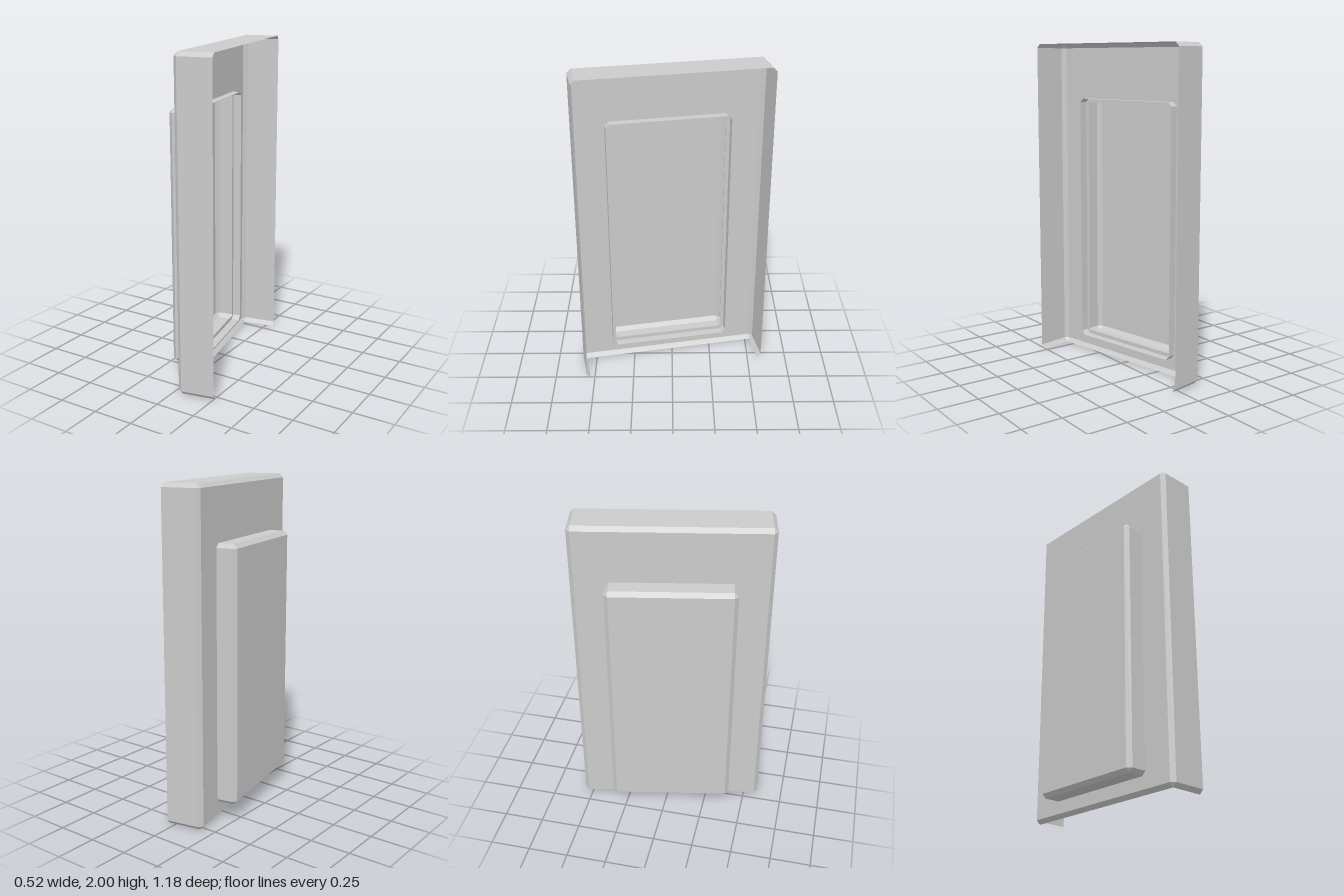
import * as THREE from 'three';

const BEVEL = 0.024;

// Rectangle corners, counter-clockwise from bottom left.
const corners = (w, y0, y1) => [[-w, y0], [w, y0], [w, y1], [-w, y1]];

// Rectangle with its four corners cut; edges 0, 2, 4, 6 are bottom, right, top, left.
const cutCorners = (w, y0, y1, c) => [
  [-w + c, y0], [w - c, y0], [w, y0 + c], [w, y1 - c],
  [w - c, y1], [-w + c, y1], [-w, y1 - c], [-w, y0 + c],
];

// Joins equal-length outlines [points, depth]; skip(ring, edge) leaves a strip open.
function loft(rings, skip = () => false) {
  const pos = [];
  for (let r = 0; r < rings.length - 1; r++) {
    const [A, za] = rings[r];
    const [B, zb] = rings[r + 1];
    for (let i = 0; i < A.length; i++) {
      if (skip(r, i)) continue;
      const j = (i + 1) % A.length;
      const a = [...A[i], za], b = [...A[j], za], c = [...B[j], zb], d = [...B[i], zb];
      pos.push(...a, ...b, ...c, ...a, ...c, ...d);
    }
  }
  const geo = new THREE.BufferGeometry();
  geo.setAttribute('position', new THREE.Float32BufferAttribute(pos, 3));
  geo.computeVertexNormals();
  return geo;
}

export function createModel() {
  const model = new THREE.Group();
  model.name = 'panelledShell';
  const mat = new THREE.MeshStandardMaterial({
    color: 0xcccccc, flatShading: true, side: THREE.DoubleSide,
  });
  const add = (name, geo, z = 0) => {
    const mesh = new THREE.Mesh(geo, mat);
    mesh.name = name;
    mesh.position.z = z;
    model.add(mesh);
  };

  // Bevelled tray walls, open at the back
  const walls = (w, y0, y1, z0, z1, skip) => {
    const outer = cutCorners(w, y0, y1, BEVEL);
    const inner = corners(w - BEVEL, y0 + BEVEL, y1 - BEVEL);
    const face = [0, 1, 1, 2, 2, 3, 3, 0].map(i => inner[i]);
    return loft([[outer, z0], [outer, z1 - BEVEL], [face, z1]], skip);
  };
  const rect = (w, y0, y1) => corners(w, y0, y1).map(p => new THREE.Vector2(...p));

  // Outer shell: no floor, and a panel with a window
  add('shellWalls', walls(0.58, 0, 2, 0, 0.23, (r, i) => r === 0 && i === 0));
  const panel = new THREE.Shape(rect(0.58 - BEVEL, BEVEL, 2 - BEVEL));
  panel.holes.push(new THREE.Path(rect(0.378 - BEVEL, 0.1 + BEVEL, 1.66 - BEVEL).reverse()));
  add('shellPanel', new THREE.ShapeGeometry(panel), 0.23);

  // Smaller tray pushed through the panel, its rim standing proud inside
  add('trayWalls', walls(0.378, 0.1, 1.66, 0.18, 0.35));
  const face = new THREE.Shape(rect(0.378 - BEVEL, 0.1 + BEVEL, 1.66 - BEVEL));
  add('trayFace', new THREE.ShapeGeometry(face), 0.35);

  // Turned so the tray faces the right side
  model.rotation.y = -1.38;
  model.position.set(0.15, 0, -0.02);
  const root = new THREE.Group();
  root.name = 'model';
  root.add(model);
  return root;
}
